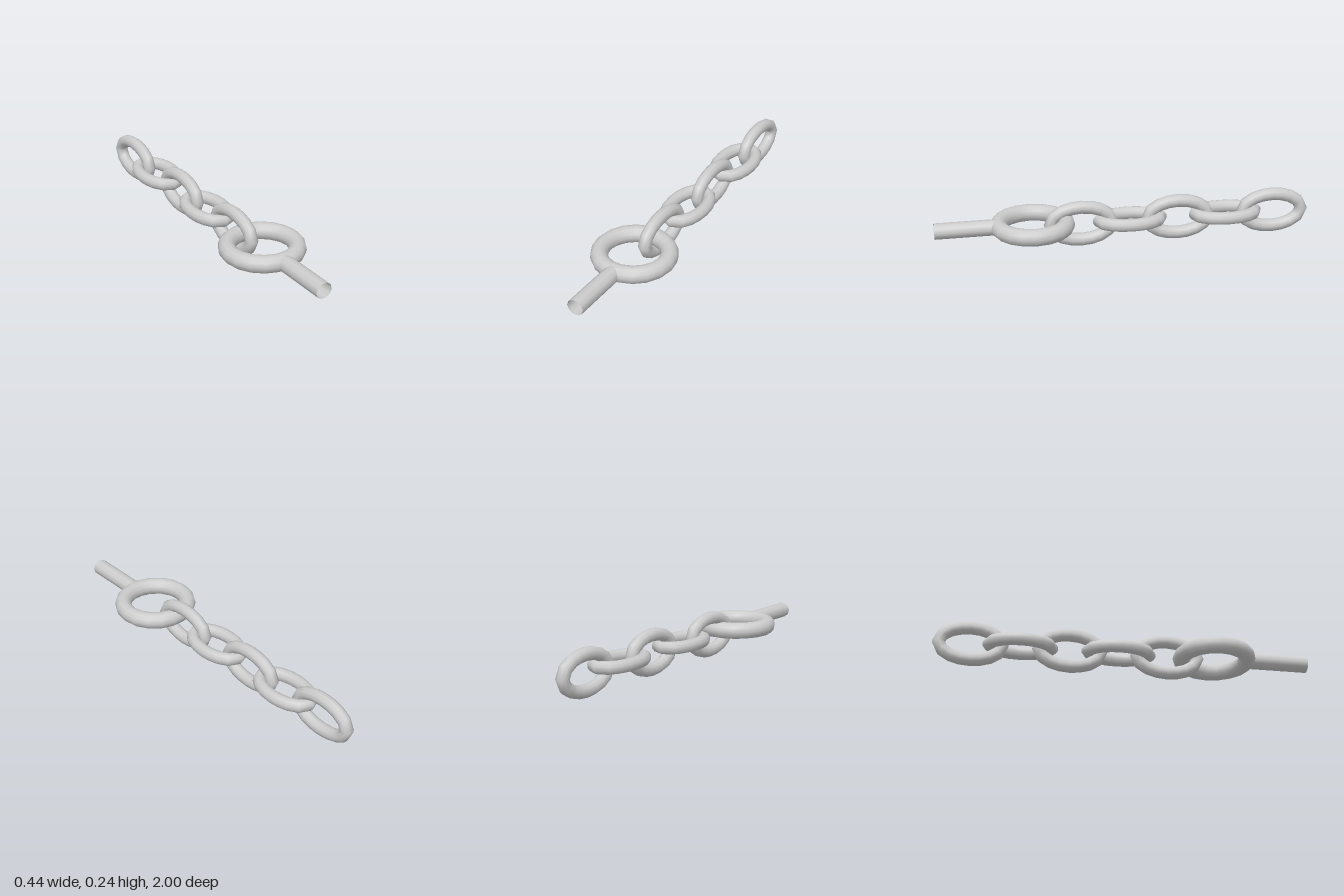
import * as THREE from 'three';

const metal = new THREE.MeshStandardMaterial({ color: 0xcccccc });
const openMetal = new THREE.MeshStandardMaterial({ color: 0xcccccc, side: THREE.DoubleSide });

// Closed oval lying in the xz plane, long along z
function ovalPath(halfWidth, halfLength) {
  const points = [];
  for (let i = 0; i < 24; i++) {
    const a = (i / 24) * Math.PI * 2;
    points.push(new THREE.Vector3(halfWidth * Math.cos(a), 0, halfLength * Math.sin(a)));
  }
  return new THREE.CatmullRomCurve3(points, true);
}

export function createModel() {
  const group = new THREE.Group();
  const add = (name, geometry, material = metal) => {
    const mesh = new THREE.Mesh(geometry, material);
    mesh.name = name;
    group.add(mesh);
    return mesh;
  };

  // Chain of oval links, alternately upright and flat
  const linkGeometry = new THREE.TubeGeometry(ovalPath(0.09, 0.165), 16, 0.034, 10, true);
  for (let i = 0; i < 5; i++) {
    const upright = i % 2 === 0;
    const link = add(upright ? 'uprightLink' : 'flatLink', linkGeometry);
    link.position.set(0, upright ? 0.125 : 0.13, 0.235 - i * 0.259);
    if (upright) link.rotation.z = Math.PI / 2;
  }

  // Large round ring, lying flat
  const ring = add('ring', new THREE.TorusGeometry(0.177, 0.045, 12, 18));
  ring.rotation.x = Math.PI / 2;
  ring.position.set(0, 0.137, 0.492);

  // Open-ended shank running forward from the ring
  const shankGeometry = new THREE.CylinderGeometry(0.045, 0.045, 0.32, 10, 1, true);
  shankGeometry.rotateY(Math.PI / 2).rotateX(Math.PI / 2).scale(1, 0.93, 1);
  add('shank', shankGeometry, openMetal).position.set(0, 0.138, 0.84);

  return group;
}
